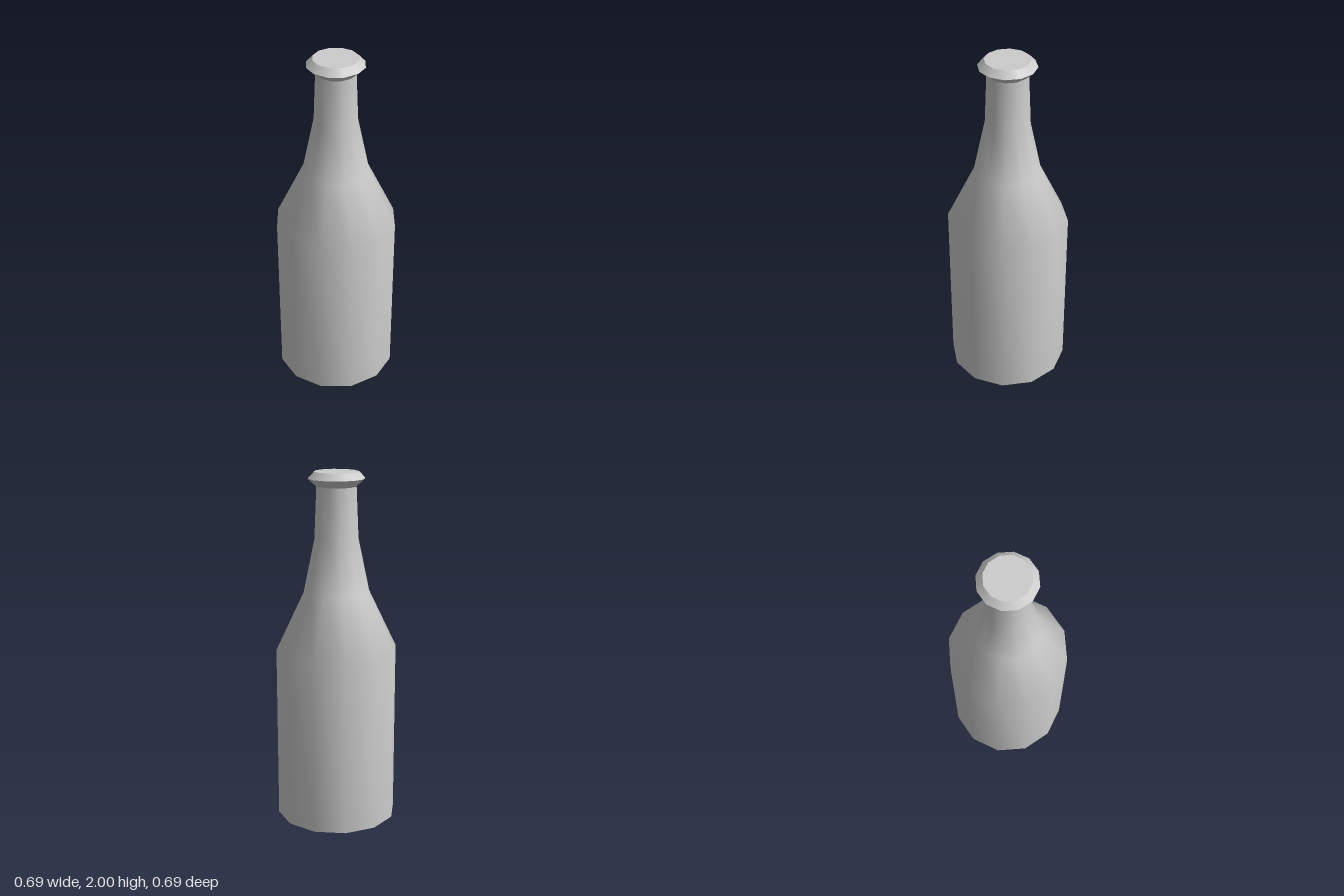
import * as THREE from 'three';

const SIDES = 12;

export function createModel() {
  const bottle = new THREE.Group();
  bottle.name = 'bottle';
  const material = new THREE.MeshStandardMaterial({ color: 0xcccccc });

  // Each band is turned separately, so edges between bands stay sharp
  const turn = (name, profile) => {
    const points = profile.map(([r, y]) => new THREE.Vector2(r, y));
    const mesh = new THREE.Mesh(new THREE.LatheGeometry(points, SIDES), material);
    mesh.name = name;
    bottle.add(mesh);
  };

  // Flat underside
  turn('base', [[0, 0], [0.345, 0]]);

  // Straight body, sloping shoulder and slim neck, smoothly shaded
  turn('body', [[0.345, 0], [0.345, 1], [0.187, 1.33], [0.124, 1.63], [0.112, 1.92]]);

  // Flared lip and closed mouth
  turn('lipUnderside', [[0.112, 1.92], [0.16, 1.963]]);
  turn('lipTop', [[0.16, 1.963], [0.125, 2]]);
  turn('mouthCap', [[0.125, 2], [0, 2]]);

  return bottle;
}
